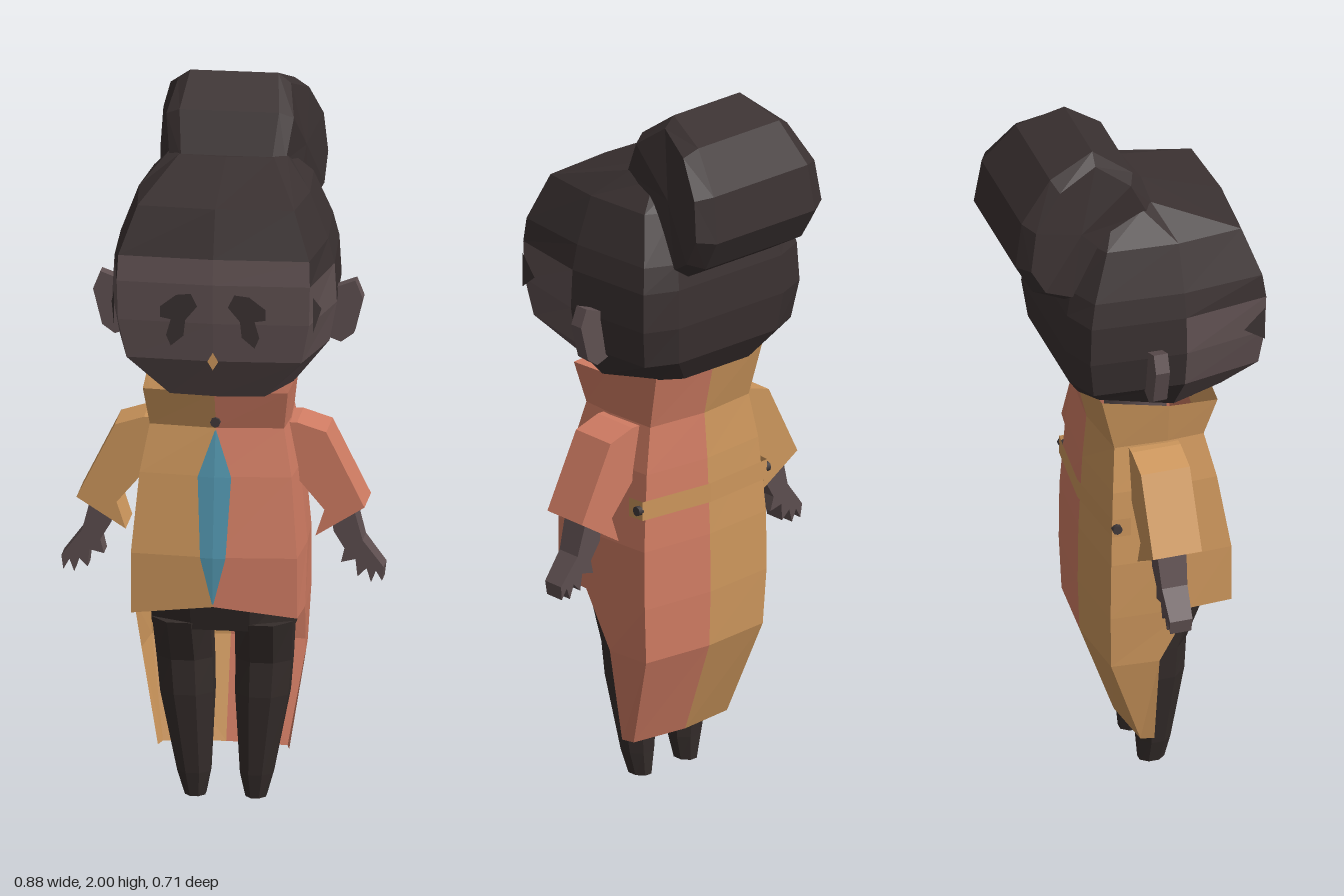
import * as THREE from 'three';

const mat = (name, color) => new THREE.MeshStandardMaterial({ name, color, side: THREE.DoubleSide });
const skin = mat('skin', 0x5f5051);
const hair = mat('hair', 0x3a3131);
const tan = mat('tanCloth', 0xcc965c);
const coral = mat('coralCloth', 0xd07c63);
const blue = mat('blueCloth', 0x5093ab);
const pants = mat('trousers', 0x352d2b);
const dark = mat('buttons', 0x40393a);

// Skin between rows of points; pick(row, column) chooses a material index
function loft(rows, { closed = true, caps = false, pick = () => 0 } = {}) {
  const lists = [[], []];
  const n = rows[0].length;
  for (let i = 0; i < rows.length - 1; i++) {
    for (let j = 0; j < (closed ? n : n - 1); j++) {
      const k = (j + 1) % n;
      const [a, b, c, d] = [rows[i][j], rows[i][k], rows[i + 1][k], rows[i + 1][j]];
      lists[pick(i, j)].push(...a, ...b, ...c, ...a, ...c, ...d);
    }
  }
  if (caps) {
    [0, rows.length - 1].forEach((i, end) => {
      const mid = [0, 1, 2].map(a => rows[i].reduce((s, p) => s + p[a], 0) / n);
      for (let j = 0; j < n; j++) {
        const p = rows[i][j], q = rows[i][(j + 1) % n];
        lists[pick(i, j)].push(...mid, ...(end ? p : q), ...(end ? q : p));
      }
    });
  }
  const geo = new THREE.BufferGeometry();
  geo.setAttribute('position', new THREE.Float32BufferAttribute(lists.flat(), 3));
  geo.addGroup(0, lists[0].length / 3, 0);
  if (lists[1].length) geo.addGroup(lists[0].length / 3, lists[1].length / 3, 1);
  geo.computeVertexNormals();
  return geo;
}

// Complete a half ring that runs front centre -> +x side -> back centre
const mirrorRing = half => [...half, ...half.slice(1, -1).reverse().map(([x, y, z]) => [-x, y, z])];

const shapeOf = pts => new THREE.Shape(pts.map(p => new THREE.Vector2(...p)));

function slab(pts, depth, z) {
  const g = new THREE.ExtrudeGeometry(shapeOf(pts), { depth, bevelEnabled: false });
  return g.translate(0, 0, z);
}

export function createModel() {
  const model = new THREE.Group();
  const add = (name, geo, material, parent = model) => {
    const m = new THREE.Mesh(geo, material);
    m.name = name;
    parent.add(m);
    return m;
  };

  // Head: skin at the front, hair over the top and back
  const head = new THREE.Group();
  head.name = 'head';
  head.position.x = 0.01;
  model.add(head);
  // y front, y back, side width, front width, front z, back z
  const headRows = [
    [1.19, 1.235, 0.19, 0.13, 0.27, -0.15],
    [1.31, 1.31, 0.288, 0.24, 0.34, -0.195],
    [1.42, 1.42, 0.308, 0.262, 0.352, -0.21],
    [1.53, 1.53, 0.302, 0.265, 0.355, -0.205],
    [1.6, 1.6, 0.285, 0.262, 0.345, -0.19],
    [1.73, 1.73, 0.235, 0.215, 0.3, -0.14],
    [1.81, 1.8, 0.16, 0.13, 0.07, -0.1],
  ].map(([y, yb, w, wf, zf, zb]) => mirrorRing([
    [0, y, zf], [wf, y, zf - 0.014], [w, y, Math.min(0.1, zf - 0.05)],
    [w * 0.93, yb, zb + 0.04], [w * 0.62, yb, zb], [0, yb, zb],
  ]));
  const isSkin = (i, j) => (i < 4 && (j === 0 || j === 9)) || (i < 3 && (j === 1 || j === 8));
  add('headAndHair', loft(headRows, { caps: true, pick: (i, j) => (isSkin(i, j) ? 0 : 1) }), [skin, hair], head);

  // Bun: side profile as z, y, half width
  const bunProfile = [
    [-0.11, 2.0, 0.155], [0, 1.92, 0.175], [0.06, 1.8, 0.16], [-0.05, 1.66, 0.18], [-0.2, 1.56, 0.19],
    [-0.3, 1.62, 0.225], [-0.35, 1.71, 0.23], [-0.33, 1.84, 0.22], [-0.24, 1.95, 0.19],
  ];
  const bunRow = (fx, s) => bunProfile.map(([z, y, w]) => [w * fx, 1.78 + (y - 1.78) * s, -0.13 + (z + 0.13) * s]);
  add('bun', loft([bunRow(-1, 0.87), bunRow(-0.78, 1), bunRow(0.78, 1), bunRow(1, 0.87)], { caps: true }), hair, head);

  // Face details as thin plates
  const eyePts = [
    [0.042, 1.47], [0.06, 1.505], [0.1, 1.5], [0.145, 1.465], [0.145, 1.435], [0.115, 1.43],
    [0.128, 1.385], [0.115, 1.355], [0.08, 1.385], [0.075, 1.43],
  ];
  const sidePatch = [[0.267, 1.5, 0.335], [0.267, 1.4, 0.335], [0.282, 1.45, 0.27]];
  for (const s of [1, -1]) {
    const eye = new THREE.ShapeGeometry(shapeOf(eyePts.map(([x, y]) => [x * s, y])));
    const p = eye.attributes.position;
    for (let i = 0; i < p.count; i++) p.setZ(i, 0.36 - 0.053 * Math.abs(p.getX(i)));
    eye.computeVertexNormals();
    add(s > 0 ? 'leftEye' : 'rightEye', eye, hair, head);
    const patch = new THREE.BufferGeometry();
    const corners = s > 0 ? sidePatch : [...sidePatch].reverse();
    patch.setAttribute('position', new THREE.Float32BufferAttribute(
      corners.flatMap(([x, y, z]) => [(x + 0.006) * s, y, z]), 3));
    patch.computeVertexNormals();
    add('templeMark', patch, hair, head);

    // Ears
    const earPts = [[0.27, 1.43], [0.31, 1.445], [0.35, 1.46], [0.37, 1.41], [0.345, 1.31], [0.31, 1.285], [0.27, 1.3]];
    add(s > 0 ? 'leftEar' : 'rightEar', slab(earPts.map(([x, y]) => [x * s, y]), 0.04, -0.01), skin, head);
  }
  const mouth = shapeOf([[0, 1.288], [0.015, 1.312], [0, 1.338], [-0.015, 1.312]]);
  add('mouth', new THREE.ShapeGeometry(mouth).translate(0, 0, 0.351), tan, head);
  add('neck', new THREE.CylinderGeometry(0.09, 0.09, 0.2, 8).translate(0, 1.15, 0.05), skin);

  // Coat body in two colours: y, half width, front z, back z
  const coatRows = [
    [0.56, 0.235, 0.27, -0.115], [0.73, 0.235, 0.27, -0.113], [0.95, 0.215, 0.235, -0.102],
    [1.08, 0.19, 0.205, -0.09], [1.19, 0.205, 0.24, -0.13],
  ].map(([y, w, zf, zb], i) => mirrorRing([
    [0, y + (i ? 0 : 0.03), zf], [w * 0.97, y, zf - 0.02], [w, y + (i === 4 ? 0.01 : 0), i ? 0.08 : 0.13],
    [w * 0.95, y + (i === 4 ? 0.05 : 0), zb + 0.02], [0, y + (i === 4 ? 0.06 : 0), zb],
  ]));
  add('coat', loft(coatRows, { pick: (i, j) => (j < 4 ? 0 : 1) }), [coral, tan]);

  // Coat tail behind the legs: y, half width, side edge z, back z
  const tailRows = [
    [0.125, 0.18, 0.045, -0.012], [0.4, 0.225, 0.045, -0.11], [0.56, 0.235, 0.13, -0.115],
  ].map(([y, w, zc, zb]) => [
    [w, y, zc], [w * 0.95, y, zb + 0.02], [0, y, zb], [-w * 0.95, y, zb + 0.02], [-w, y, zc],
  ]);
  add('coatTail', loft(tailRows, { closed: false, pick: (i, j) => (j < 2 ? 0 : 1) }), [coral, tan]);

  // Blue front insert
  const insertRows = [[0.6, 0.002, 0.278], [0.73, 0.035, 0.278], [0.95, 0.046, 0.243], [1.075, 0.002, 0.215]]
    .map(([y, w, z]) => [[-w, y, z - w * 0.1], [0, y, z], [w, y, z - w * 0.1]]);
  add('frontInsert', loft(insertRows, { closed: false }), blue);

  // Back strap and buttons
  const strapPath = [[0.232, -0.04], [0.228, -0.092], [0, -0.116], [-0.228, -0.092], [-0.232, -0.04]];
  add('backStrap', loft([0.825, 0.88].map(y => strapPath.map(([x, z]) => [x, y, z])), { closed: false }), tan);
  const button = () => new THREE.CylinderGeometry(0.014, 0.014, 0.016, 8);
  for (const s of [1, -1]) add('strapButton', button().rotateZ(Math.PI / 2).translate(0.233 * s, 0.853, -0.08), dark);
  add('collarButton', button().rotateX(Math.PI / 2).translate(0, 1.1, 0.215), dark);

  // Hips and legs
  const ring = (x, y, z, rx, rz) => Array.from({ length: 8 }, (_, i) => {
    const a = (i + 0.5) * Math.PI / 4;
    return [x + 1.08 * rx * Math.sin(a), y, z + 1.08 * rz * Math.cos(a)];
  });
  add('hips', loft([ring(0.01, 0.5, 0.1, 0.195, 0.09), ring(0.01, 0.62, 0.1, 0.2, 0.125)], { caps: true }), pants);
  for (const s of [1, -1]) {
    const rows = [
      [0, 0.083, 0.07, 0.028, 0.035], [0.07, 0.086, 0.075, 0.045, 0.045], [0.3, 0.103, 0.08, 0.073, 0.07],
      [0.4, 0.108, 0.085, 0.077, 0.068], [0.52, 0.113, 0.11, 0.08, 0.09],
    ].map(([y, x, z, rx, rz]) => ring(0.01 + x * s, y, z, rx, rz));
    add(s > 0 ? 'leftLeg' : 'rightLeg', loft(rows, { caps: true }), pants);
  }

  // Sleeves and hands
  const sleevePts = [[0.17, 1.075], [0.21, 1.075], [0.29, 1.05], [0.395, 0.84], [0.26, 0.755], [0.285, 0.83], [0.2, 0.93]];
  const handPts = [
    [0.3, 0.83], [0.36, 0.83], [0.385, 0.735], [0.442, 0.66], [0.437, 0.62], [0.42, 0.65], [0.407, 0.615],
    [0.395, 0.655], [0.37, 0.63], [0.365, 0.68], [0.325, 0.67], [0.335, 0.71], [0.305, 0.76],
  ];
  for (const s of [1, -1]) {
    const side = s > 0 ? 'left' : 'right';
    add(side + 'Sleeve', slab(sleevePts.map(([x, y]) => [x * s, y]), 0.14, -0.03), s > 0 ? coral : tan);
    const hand = slab(handPts.map(([x, y]) => [x * s, y]), 0.08, -0.04);
    const p = hand.attributes.position;
    for (let i = 0; i < p.count; i++) p.setZ(i, 0.035 + p.getZ(i) * (0.75 + (p.getY(i) - 0.62) * 1.4));
    hand.computeVertexNormals();
    add(side + 'Hand', hand, skin);
  }
  return model;
}
